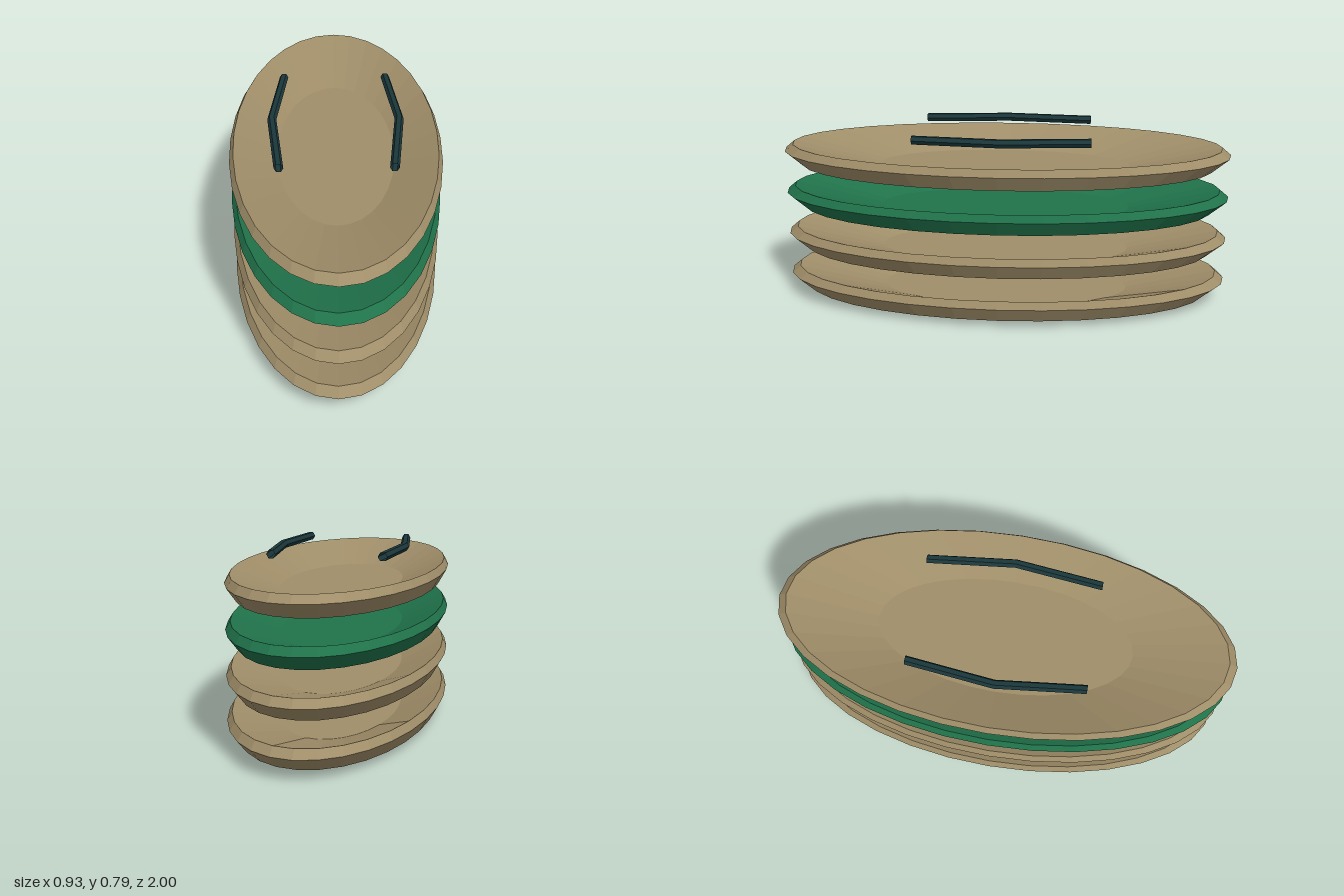
import * as THREE from 'three';

const mat = (name, color) => {
  const m = new THREE.MeshStandardMaterial({ color });
  m.name = name;
  return m;
};

// Give every face its own normal for a faceted look
const facet = (geo) => {
  const g = geo.toNonIndexed();
  g.computeVertexNormals();
  return g;
};

// Oval dish: outer wall upwards, bevelled rim, then down to the sunken floor
function dishGeometry() {
  const profile = [
    [0, 0], [0.605, 0], [0.922, 0.03], [1, 0.094], [0.962, 0.126], [0.56, 0.035], [0, 0.035],
  ].map(([r, y]) => new THREE.Vector2(r, y));
  const geo = new THREE.LatheGeometry(profile, 32);
  geo.scale(0.463, 1, 1);
  return facet(geo);
}

// Six-sided open tube along z, bent outwards (+x) at its middle
function barGeometry() {
  const half = 0.382;
  const geo = new THREE.CylinderGeometry(0.0198, 0.0198, half * 2, 6, 2, true);
  geo.rotateY(Math.PI / 6).rotateX(Math.PI / 2);
  const p = geo.attributes.position;
  for (let i = 0; i < p.count; i++) {
    p.setX(i, p.getX(i) + 0.042 * (1 - Math.abs(p.getZ(i)) / half));
  }
  return facet(geo);
}

export function createModel() {
  const tan = mat('tan', 0xa08e69);
  const green = mat('green', 0x20734b);
  const darkTeal = mat('dark teal', 0x1b373b);
  darkTeal.side = THREE.DoubleSide;
  const model = new THREE.Group();
  model.name = 'dishStack';

  // Four floating dishes, the third one green
  const dish = dishGeometry();
  [tan, tan, green, tan].forEach((material, i) => {
    const mesh = new THREE.Mesh(dish, material);
    mesh.name = `dish${i + 1}`;
    mesh.position.y = i * 0.192;
    model.add(mesh);
  });

  // Pair of bent bars above the top dish
  const bar = barGeometry();
  for (const side of [1, -1]) {
    const mesh = new THREE.Mesh(bar, darkTeal);
    mesh.name = side > 0 ? 'leftBar' : 'rightBar';
    mesh.position.set(side * 0.235, 0.768, 0);
    if (side < 0) mesh.rotation.y = Math.PI;
    model.add(mesh);
  }
  return model;
}
